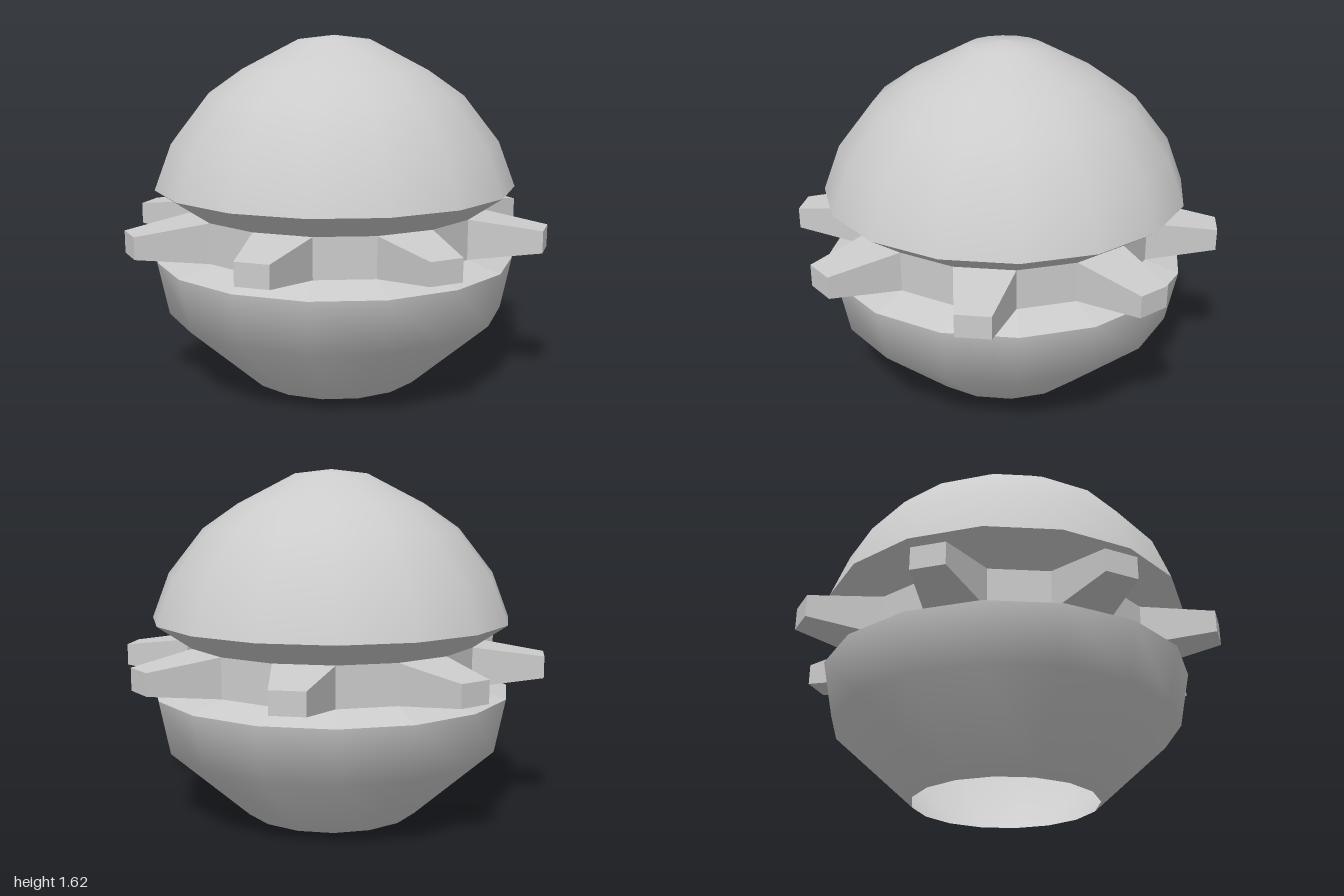
import * as THREE from 'three';

const SIDES = 16;
const STEP = (Math.PI * 2) / SIDES;
const NECK = { r: 0.69, y0: 0.635, y1: 0.82 };

const smooth = new THREE.MeshStandardMaterial({ color: 0xcccccc, side: THREE.DoubleSide });
const faceted = new THREE.MeshStandardMaterial({ color: 0xcccccc, side: THREE.DoubleSide, flatShading: true });

// Sixteen-sided shell from [radius, height] points, bottom to top
function shell(name, profile, material) {
  const points = profile.map(([r, y]) => new THREE.Vector2(r, y));
  const mesh = new THREE.Mesh(new THREE.LatheGeometry(points, SIDES), material);
  mesh.name = name;
  return mesh;
}

// Mesh from four-cornered faces, corners counter-clockwise from outside
function quadMesh(name, quads) {
  const positions = quads.flatMap(([a, b, c, d]) => [a, b, c, a, c, d].flat());
  const geometry = new THREE.BufferGeometry();
  geometry.setAttribute('position', new THREE.Float32BufferAttribute(positions, 3));
  geometry.computeVertexNormals();
  const mesh = new THREE.Mesh(geometry, faceted);
  mesh.name = name;
  return mesh;
}

// Upright rectangle facing +z
const rectangle = (halfWidth, y0, y1, z) => [
  [-halfWidth, y0, z], [halfWidth, y0, z], [halfWidth, y1, z], [-halfWidth, y1, z],
];

export function createModel() {
  const model = new THREE.Group();
  model.name = 'toothedCapsule';

  // Lower bowl, open underneath, and its sloping rim
  model.add(shell('lowerBowl', [[0.425, 0], [0.8, 0.34], [0.85, 0.59]], smooth));
  model.add(shell('lowerRim', [[0.85, 0.59], [NECK.r, NECK.y0]], faceted));

  // Upper dome and the slope beneath it
  model.add(shell('upperRim', [[NECK.r, NECK.y1], [0.85, 0.93]], faceted));
  model.add(shell('dome', [
    [0.85, 0.93], [0.77, 1.14], [0.605, 1.35], [0.44, 1.465], [0.17, 1.605], [0, 1.625],
  ], smooth));

  // Neck ring: tapered teeth alternating with flat panels
  const ring = new THREE.Group();
  ring.name = 'toothRing';
  const base = rectangle(NECK.r * Math.sin(STEP / 2), NECK.y0, NECK.y1, NECK.r * Math.cos(STEP / 2));
  const tip = rectangle(0.076, 0.677, 0.778, 1.002);
  const toothFaces = [tip];
  for (let i = 0; i < 4; i++) {
    const j = (i + 1) % 4;
    toothFaces.push([base[i], base[j], tip[j], tip[i]]);
  }
  for (let k = 0; k < SIDES; k++) {
    const part = k % 2 === 0 ? quadMesh('tooth', toothFaces) : quadMesh('neckPanel', [base]);
    part.rotation.y = (k - 0.5) * STEP;
    ring.add(part);
  }
  model.add(ring);

  return model;
}
